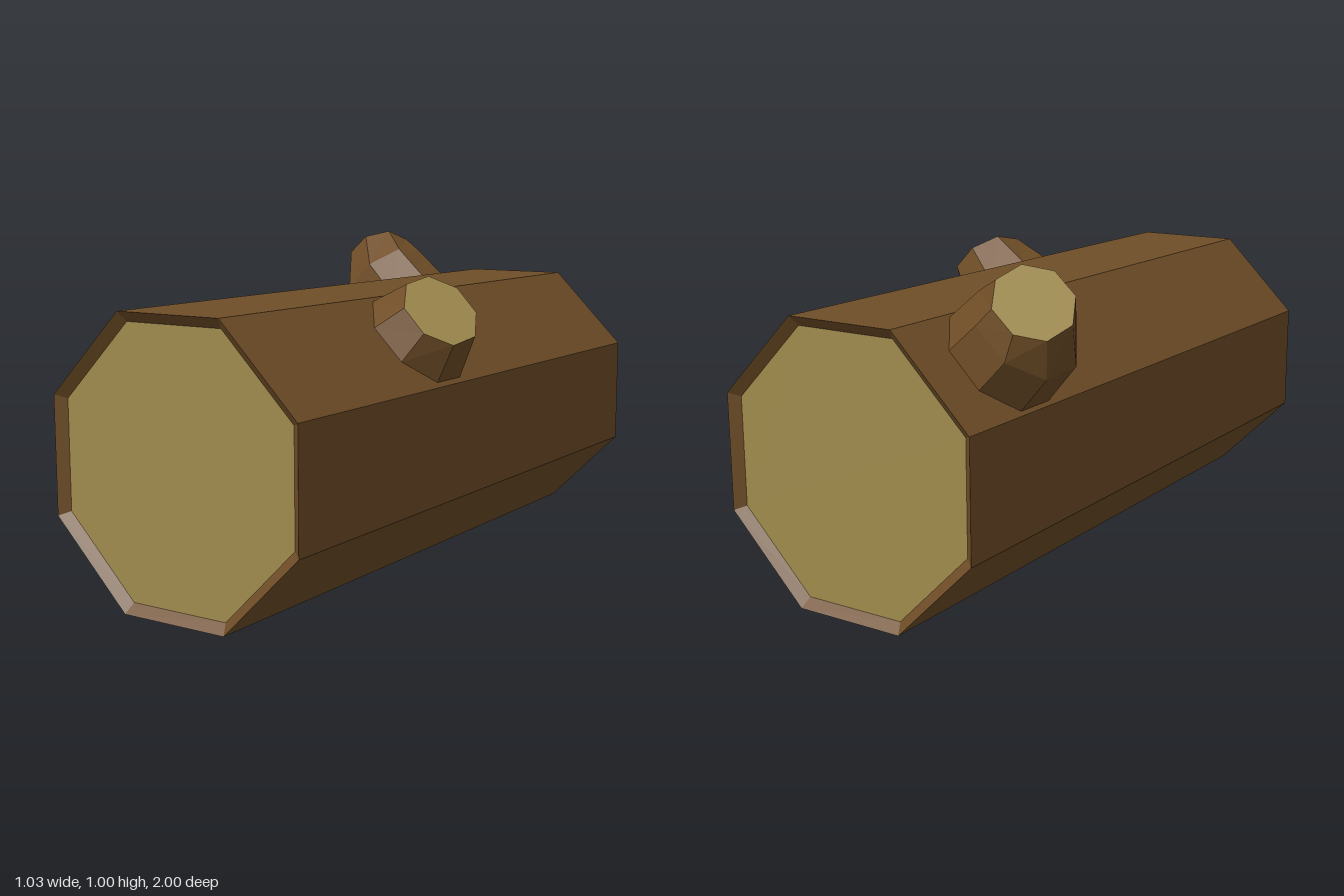
import * as THREE from 'three';

const SIDES = 8;
const bark = new THREE.MeshStandardMaterial({ color: 0x704e27 });
bark.name = 'bark brown';
const wood = new THREE.MeshStandardMaterial({ color: 0xa08b4d });
wood.name = 'cut wood tan';

// Octagon of points around a centre, facing along a normal
function ring(centre, normal, radius, ref = [0, 0, 1]) {
  const n = new THREE.Vector3(...normal).normalize();
  const u = new THREE.Vector3(...ref);
  u.addScaledVector(n, -u.dot(n)).normalize();
  const v = n.clone().cross(u);
  return Array.from({ length: SIDES }, (_, i) => {
    const a = ((i + 0.5) / SIDES) * Math.PI * 2;
    return new THREE.Vector3(...centre)
      .addScaledVector(u, radius * Math.cos(a))
      .addScaledVector(v, radius * Math.sin(a));
  });
}

function facetedMesh(name, points, material) {
  const geometry = new THREE.BufferGeometry().setFromPoints(points);
  geometry.computeVertexNormals();
  const mesh = new THREE.Mesh(geometry, material);
  mesh.name = name;
  return mesh;
}

// Flat-sided skin through a list of rings
function skin(name, rings) {
  const points = [];
  for (let r = 0; r < rings.length - 1; r++) {
    for (let i = 0; i < SIDES; i++) {
      const j = (i + 1) % SIDES;
      const a = rings[r], b = rings[r + 1];
      points.push(a[i], a[j], b[j], a[i], b[j], b[i]);
    }
  }
  return facetedMesh(name, points, bark);
}

// Flat cut face filling a ring
function cutFace(name, loop) {
  const points = [];
  for (let i = 1; i < SIDES - 1; i++) points.push(loop[0], loop[i], loop[i + 1]);
  return facetedMesh(name, points, wood);
}

function branch(name, rings) {
  const group = new THREE.Group();
  group.name = name;
  group.add(skin(name + 'Bark', rings), cutFace(name + 'CutFace', rings[rings.length - 1]));
  return group;
}

export function createModel() {
  const model = new THREE.Group();
  model.name = 'log';

  // Trunk with a slightly recessed cut face at each end
  const section = (z, radius) => ring([0.048, 0.424, z], [0, 0, 1], radius, [1, 0, 0]);
  const outer = 0.458, inner = 0.426, recess = 0.975;
  const trunk = [section(-recess, inner), section(-1, outer), section(1, outer), section(recess, inner)];
  model.add(
    skin('trunkBark', trunk),
    cutFace('frontCutFace', trunk[3]),
    cutFace('backCutFace', trunk[0].slice().reverse()),
  );

  // Long bent stub on the right, near the back
  model.add(branch('rightBranch', [
    ring([-0.25, 0.725, -0.685], [-1, 1, 0], 0.177),
    ring([-0.352, 0.822, -0.7], [-0.7, 0.7, -0.15], 0.165),
    ring([-0.408, 0.908, -0.752], [-0.585, 0.64, -0.5], 0.117),
  ]));

  // Short stub on the left, near the middle
  model.add(branch('leftBranch', [
    ring([0.346, 0.724, 0.225], [1, 1, 0], 0.172),
    ring([0.442, 0.818, 0.247], [0.7, 0.66, 0.28], 0.126),
  ]));

  return model;
}
